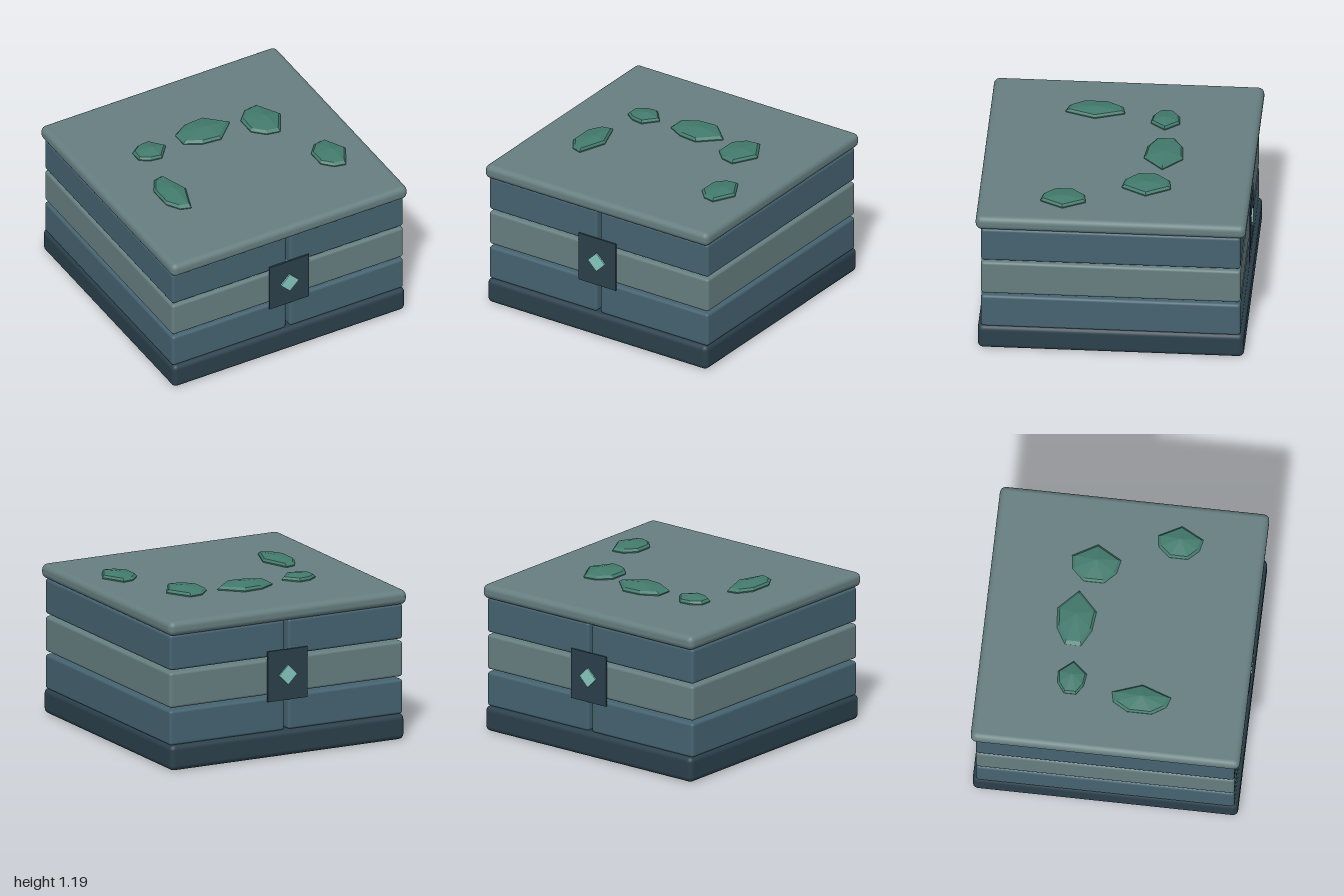
import * as THREE from 'three';
import { RoundedBoxGeometry } from 'three/addons/geometries/RoundedBoxGeometry.js';

const material = (color, flatShading = false) => new THREE.MeshStandardMaterial({ color, flatShading });

// Low faceted mound: base ring, narrower shoulder ring and an off-centre peak (unit bounds)
function moundGeometry() {
  const outline = [[1, 0], [0.3, 1], [-0.4, 0.88], [-0.97, 0.42], [-0.97, -0.42], [-0.4, -0.92], [0.3, -1]];
  const n = outline.length;
  const ring = (scale, y) => outline.map(([x, z]) => [x * scale, y, z * scale]);
  const points = [...ring(0.97, -0.2), ...ring(1, 0.2), ...ring(0.88, 0.55), [0.12, 1, 0]];
  const index = [];
  for (let i = 0; i < n; i++) {
    const j = (i + 1) % n;
    for (const r of [0, n]) index.push(r + i, r + n + i, r + j, r + j, r + n + i, r + n + j);
    index.push(2 * n + i, 3 * n, 2 * n + j);
  }
  const geometry = new THREE.BufferGeometry();
  geometry.setAttribute('position', new THREE.Float32BufferAttribute(points.flat(), 3));
  geometry.setIndex(index);
  geometry.computeVertexNormals();
  return geometry;
}

export function createModel() {
  const model = new THREE.Group();
  model.name = 'stoneBlock';

  const dark = material(0x2b404b);
  const blue = material(0x456370);
  const grey = material(0x667e80);
  const moss = material(0x427a6c, true);
  const glow = material(0x86c8be);

  function add(name, geometry, mat, x, y, z) {
    const mesh = new THREE.Mesh(geometry, mat);
    mesh.name = name;
    mesh.position.set(x, y, z);
    model.add(mesh);
    return mesh;
  }

  // Rounded slab between two heights
  function slab(name, mat, width, depth, y0, y1, radius, x = 0) {
    add(name, new RoundedBoxGeometry(width, y1 - y0, depth, 3, radius), mat, x, (y0 + y1) / 2, 0);
  }

  // Stacked stone courses
  slab('base', dark, 1.97, 1.97, 0, 0.195, 0.04);
  slab('middleCourse', grey, 1.96, 1.92, 0.475, 0.745, 0.022);
  slab('topSlab', grey, 2, 2, 1.03, 1.14, 0.045);
  for (const side of [-1, 1]) {
    const label = side > 0 ? 'Left' : 'Right';
    slab('lowerBlock' + label, blue, 0.965, 1.92, 0.19, 0.455, 0.022, side * 0.4975);
    slab('upperBlock' + label, blue, 0.965, 1.92, 0.762, 1.032, 0.022, side * 0.4975);
  }

  // Plate with a diamond on the front and the back
  for (const side of [-1, 1]) {
    const label = side > 0 ? 'Front' : 'Back';
    add('plate' + label, new THREE.BoxGeometry(0.335, 0.385, 0.012), dark, 0, 0.618, side * 0.971);
    const gem = add('diamond' + label, new THREE.BoxGeometry(0.107, 0.107, 0.02), glow, 0, 0.618, side * 0.978);
    gem.rotation.z = Math.PI / 4;
  }

  // Moss mounds on top: centre x, centre z, half width, half depth
  const mound = moundGeometry();
  const mounds = [
    [0.017, -0.328, 0.218, 0.145],
    [-0.45, -0.307, 0.13, 0.108],
    [0.46, -0.23, 0.15, 0.182],
    [0.693, 0.37, 0.128, 0.168],
    [-0.56, 0.22, 0.112, 0.22],
  ];
  mounds.forEach(([x, z, rx, rz], i) => {
    add('mossMound' + (i + 1), mound, moss, x, 1.14, z).scale.set(rx, 0.05, rz);
  });

  return model;
}
